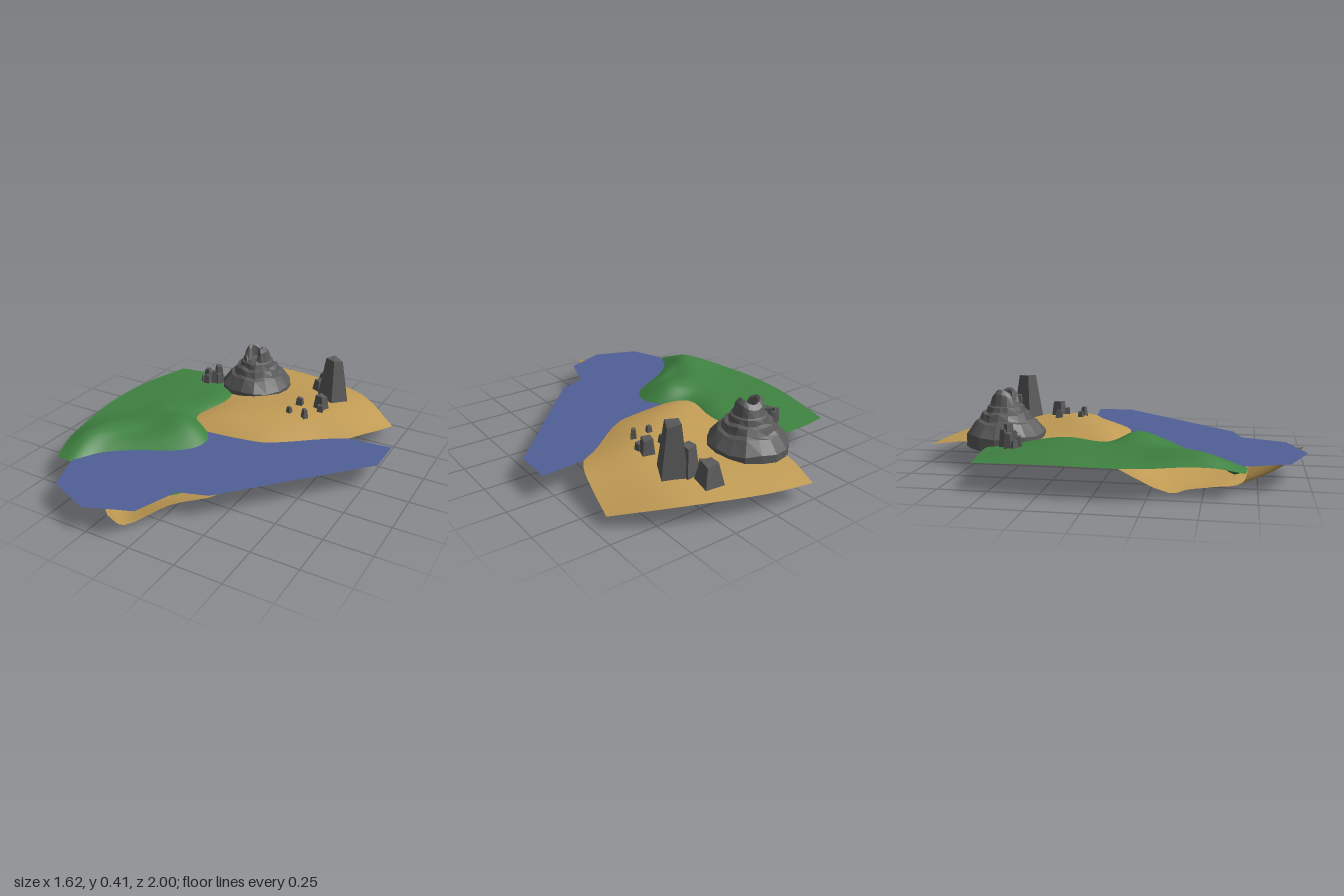
import * as THREE from 'three';

const mat = (color, flat = false) => new THREE.MeshStandardMaterial({ color, flatShading: flat, side: THREE.DoubleSide });
const stone = mat(0x5a5a5a, true);

// Smooth terrain sheet lofted through rows of [x, y, z], back to front, each left to right
function sheet(name, color, rows, nu = 24, nv = 36) {
  const spline = (pts) => new THREE.CatmullRomCurve3(pts);
  const across = rows.map((r) => spline(r.map((p) => new THREE.Vector3(...p))).getPoints(nu));
  const pos = [], idx = [];
  for (let i = 0; i <= nu; i++) {
    const column = spline(across.map((r) => r[i])).getPoints(nv);
    column.forEach((p) => pos.push(p.x, p.y, p.z));
  }
  const w = nv + 1;
  for (let i = 0; i < nu; i++) {
    for (let j = 0; j < nv; j++) {
      const a = i * w + j, b = a + w;
      idx.push(a, a + 1, b, b, a + 1, b + 1);
    }
  }
  const geo = new THREE.BufferGeometry();
  geo.setAttribute('position', new THREE.Float32BufferAttribute(pos, 3));
  geo.setIndex(idx);
  geo.computeVertexNormals();
  const mesh = new THREE.Mesh(geo, mat(color));
  mesh.name = name;
  return mesh;
}

// Tapered square block of stone from y0 up to y1, with a slightly slanted top
function rock(name, x, z, size, y0, y1, turn, taper = 0.55) {
  const h = y1 - y0;
  const geo = new THREE.CylinderGeometry(size * taper, size, h, 4, 2);
  const p = geo.attributes.position;
  for (let i = 0; i < p.count; i++) {
    if (p.getY(i) > h * 0.4) p.setY(i, p.getY(i) - Math.max(0, p.getX(i)) * 0.35);
  }
  const mesh = new THREE.Mesh(geo, stone);
  mesh.position.set(x, (y0 + y1) / 2, z);
  mesh.rotation.y = turn;
  mesh.name = name;
  return mesh;
}

// Terraced crater mountain: hollow lathe with an uneven foot and a rim open to the front
function mountain() {
  const profile = [[0.212, 0.11], [0.21, 0.178], [0.16, 0.243], [0.14, 0.252], [0.125, 0.285], [0.104, 0.293],
    [0.095, 0.32], [0.084, 0.326], [0.07, 0.375], [0.05, 0.398], [0.038, 0.388], [0.034, 0.335], [0, 0.325]];
  const sides = 16;
  const geo = new THREE.LatheGeometry(profile.map((q) => new THREE.Vector2(...q)), sides);
  const p = geo.attributes.position;
  for (let i = 0; i < p.count; i++) {
    const k = Math.floor(i / profile.length) % sides, j = i % profile.length;
    const s = 1 + 0.02 * Math.sin(k * 2.4);
    p.setX(i, p.getX(i) * s);
    p.setZ(i, p.getZ(i) * s);
    if (j > 0 && j < 6) p.setY(i, p.getY(i) + 0.006 * Math.sin(k * 1.9 + j));
    if (j > 7 && j < 11) {
      const gap = k <= 1 || k === sides - 1;
      p.setY(i, gap ? 0.335 : p.getY(i) + 0.014 * Math.sin(k * 0.8 - 1.2));
    }
  }
  const mesh = new THREE.Mesh(geo, stone);
  mesh.position.set(-0.187, 0, -0.585);
  mesh.name = 'craterMountain';
  return mesh;
}

export function createModel() {
  const model = new THREE.Group();

  // Sandy ground, dipping into the lake bed and rising to a steep rim at the front
  model.add(sheet('sand', 0xc29c55, [
    [[-0.23, 0.1, -1], [0.02, 0.11, -0.96], [0.42, 0.12, -0.83], [0.69, 0.065, -0.63]],
    [[-0.28, 0.135, -0.78], [0.05, 0.15, -0.72], [0.38, 0.155, -0.62], [0.66, 0.1, -0.48]],
    [[-0.28, 0.14, -0.5], [0, 0.17, -0.45], [0.33, 0.185, -0.42], [0.61, 0.14, -0.3]],
    [[-0.32, 0.14, -0.25], [-0.08, 0.192, -0.2], [0.22, 0.19, -0.2], [0.48, 0.12, -0.12]],
    [[-0.45, 0.105, -0.02], [-0.2, 0.168, 0], [0.12, 0.15, 0.02], [0.34, 0.09, 0.09]],
    [[-0.69, 0.025, 0.35], [-0.4, 0.04, 0.28], [-0.1, 0.055, 0.26], [0.12, 0.075, 0.41]],
    [[-0.6, 0.02, 0.43], [-0.4, 0.012, 0.48], [-0.1, 0.018, 0.5], [0.19, 0.088, 0.53]],
    [[-0.52, 0.015, 0.55], [-0.37, 0.012, 0.62], [-0.15, 0.02, 0.66], [0.04, 0.085, 0.71]],
    [[-0.44, 0.02, 0.68], [-0.32, 0.02, 0.76], [-0.2, 0.02, 0.83], [-0.1, 0.035, 0.9]],
    [[-0.46, 0.137, 0.71], [-0.35, 0.137, 0.8], [-0.23, 0.137, 0.89], [-0.12, 0.137, 0.985]],
  ]));

  // Grassy hills, sloping under the sand and along the lake bed on their inner side
  model.add(sheet('grass', 0x3f8241, [
    [[-0.74, 0.14, -0.58], [-0.6, 0.14, -0.6], [-0.45, 0.145, -0.61], [-0.32, 0.12, -0.6], [-0.2, 0.075, -0.48]],
    [[-0.8, 0.16, -0.2], [-0.62, 0.17, -0.25], [-0.45, 0.175, -0.25], [-0.25, 0.172, -0.25], [-0.13, 0.08, -0.25]],
    [[-0.81, 0.16, 0.1], [-0.62, 0.17, 0.05], [-0.45, 0.185, 0.02], [-0.3, 0.168, 0], [-0.1, 0.085, -0.02]],
    [[-0.79, 0.16, 0.26], [-0.6, 0.18, 0.21], [-0.4, 0.205, 0.17], [-0.23, 0.215, 0.14], [-0.02, 0.09, 0.18]],
    [[-0.76, 0.165, 0.4], [-0.6, 0.205, 0.38], [-0.42, 0.18, 0.32], [-0.24, 0.178, 0.28], [0.01, 0.06, 0.36]],
    [[-0.73, 0.16, 0.55], [-0.62, 0.205, 0.5], [-0.5, 0.17, 0.47], [-0.35, 0.135, 0.44], [0.025, 0.035, 0.47]],
    [[-0.69, 0.13, 0.69], [-0.59, 0.133, 0.7], [-0.48, 0.075, 0.66], [-0.3, 0.03, 0.62], [0.04, 0.025, 0.58]],
  ]));

  // Flat lake surface, running in under the sand and the grass
  const lake = new THREE.Shape([
    [0.805, -0.26], [0.805, -0.05], [0.2, 0.62], [0.05, 0.67], [-0.03, 0.9], [-0.27, 0.995], [-0.51, 0.9],
    [-0.6, 0.66], [-0.53, 0.5], [-0.28, 0.3], [-0.14, 0.06], [0.02, -0.15], [0.2, -0.11], [0.38, -0.16], [0.5, -0.23],
  ].map(([x, z]) => new THREE.Vector2(x, -z)));
  const water = new THREE.Mesh(new THREE.ShapeGeometry(lake).rotateX(-Math.PI / 2), mat(0x515f97));
  water.position.y = 0.138;
  water.name = 'water';
  model.add(water);

  model.add(mountain());

  // Standing stones on the sand: x, z, size, bottom, top, turn, taper
  const stones = new THREE.Group();
  stones.name = 'standingStones';
  [
    [0.31, -0.61, 0.1, 0.09, 0.42, 0.35, 0.48],
    [0.255, -0.66, 0.062, 0.1, 0.31, 0.9],
    [0.21, -0.76, 0.085, 0.1, 0.25, 0.7, 0.5],
    [0.19, -0.7, 0.058, 0.1, 0.22, 0.2],
    [0.32, -0.42, 0.06, 0.08, 0.265, 0.5],
    [0.335, -0.375, 0.035, 0.1, 0.225, 1],
    [0.2, -0.39, 0.038, 0.13, 0.235, 0.9],
    [0.195, -0.26, 0.026, 0.16, 0.23, 0.6],
    [0.29, -0.26, 0.026, 0.16, 0.24, 0.2],
  ].forEach((s) => stones.add(rock('standingStone', ...s)));
  model.add(stones);

  // Rubble on the grass beside the mountain
  const rubble = new THREE.Group();
  rubble.name = 'rubble';
  [
    [-0.41, -0.5, 0.038, 0.265], [-0.43, -0.47, 0.032, 0.235], [-0.46, -0.435, 0.03, 0.215],
    [-0.48, -0.48, 0.032, 0.235], [-0.43, -0.52, 0.03, 0.24], [-0.4, -0.475, 0.028, 0.22], [-0.49, -0.445, 0.026, 0.2],
  ].forEach(([x, z, size, top], i) => rubble.add(rock('rubbleStone', x, z, size, 0.11, top, i * 1.3, 0.6)));
  model.add(rubble);

  return model;
}
